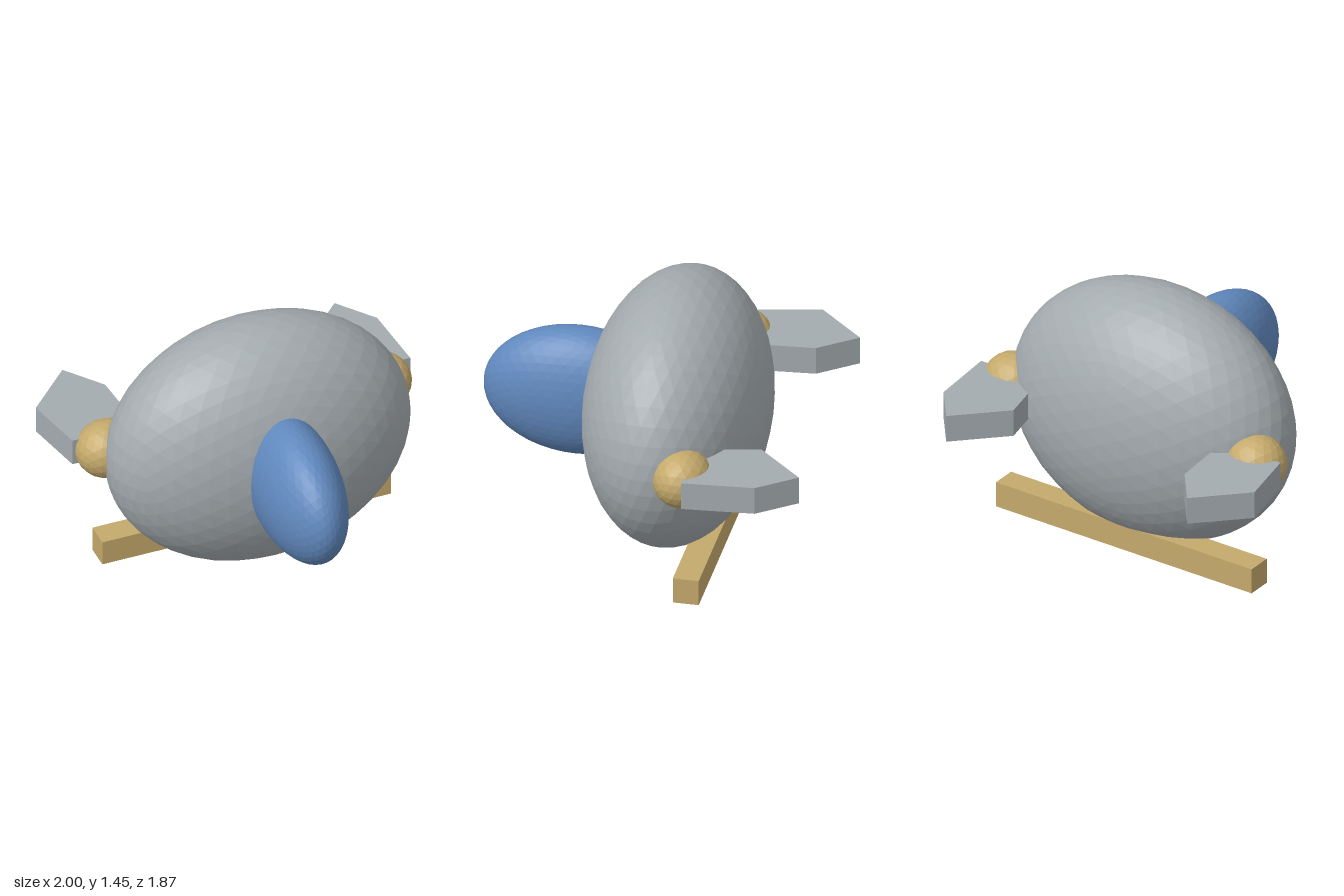
import * as THREE from 'three';

const material = (name, color, flatShading = true) => {
  const m = new THREE.MeshStandardMaterial({ color, flatShading });
  m.name = name;
  return m;
};

export function createModel() {
  const model = new THREE.Group();
  model.name = 'model';
  const grey = material('grey', 0xa4abaf);
  const blue = material('blue', 0x6088bd);
  const tan = material('tan', 0xc4a96b);

  const add = (name, geometry, mat, x, y, z) => {
    const mesh = new THREE.Mesh(geometry, mat);
    mesh.name = name;
    mesh.position.set(x, y, z);
    model.add(mesh);
    return mesh;
  };

  // Faceted ellipsoid with the given radii
  const ellipsoid = (rx, ry, rz, detail) =>
    new THREE.IcosahedronGeometry(1, detail).scale(rx, ry, rz);

  // Broad body and the tall snout on its front
  add('body', ellipsoid(0.85, 0.725, 0.49, 7), grey, 0.035, 0.727, -0.12);
  add('snout', ellipsoid(0.225, 0.37, 0.51, 7), blue, 0.03, 0.76, 0.42);

  // Five-sided fin outline, relative to its joint; shape y points backwards
  const outline = [[-0.185, 0.035], [0.19, 0.035], [0.16, 0.425], [0, 0.63], [-0.255, 0.375]];
  const fin = new THREE.ExtrudeGeometry(
    new THREE.Shape(outline.map(([x, y]) => new THREE.Vector2(x, y))),
    { depth: 0.155, bevelEnabled: false }
  ).rotateX(-Math.PI / 2);

  // Side joints, each with an identical fin trailing behind
  for (const [side, x] of [['right', -0.745], ['left', 0.805]]) {
    add(side + 'Joint', ellipsoid(0.175, 0.16, 0.16, 3), tan, x, 0.73, -0.305);
    add(side + 'Fin', fin, grey, x, 0.65, -0.305);
  }

  // Cross bar under the back of the body
  add('footBar', new THREE.BoxGeometry(1.645, 0.145, 0.14), tan, 0.0325, 0.0725, -0.335);

  return model;
}
